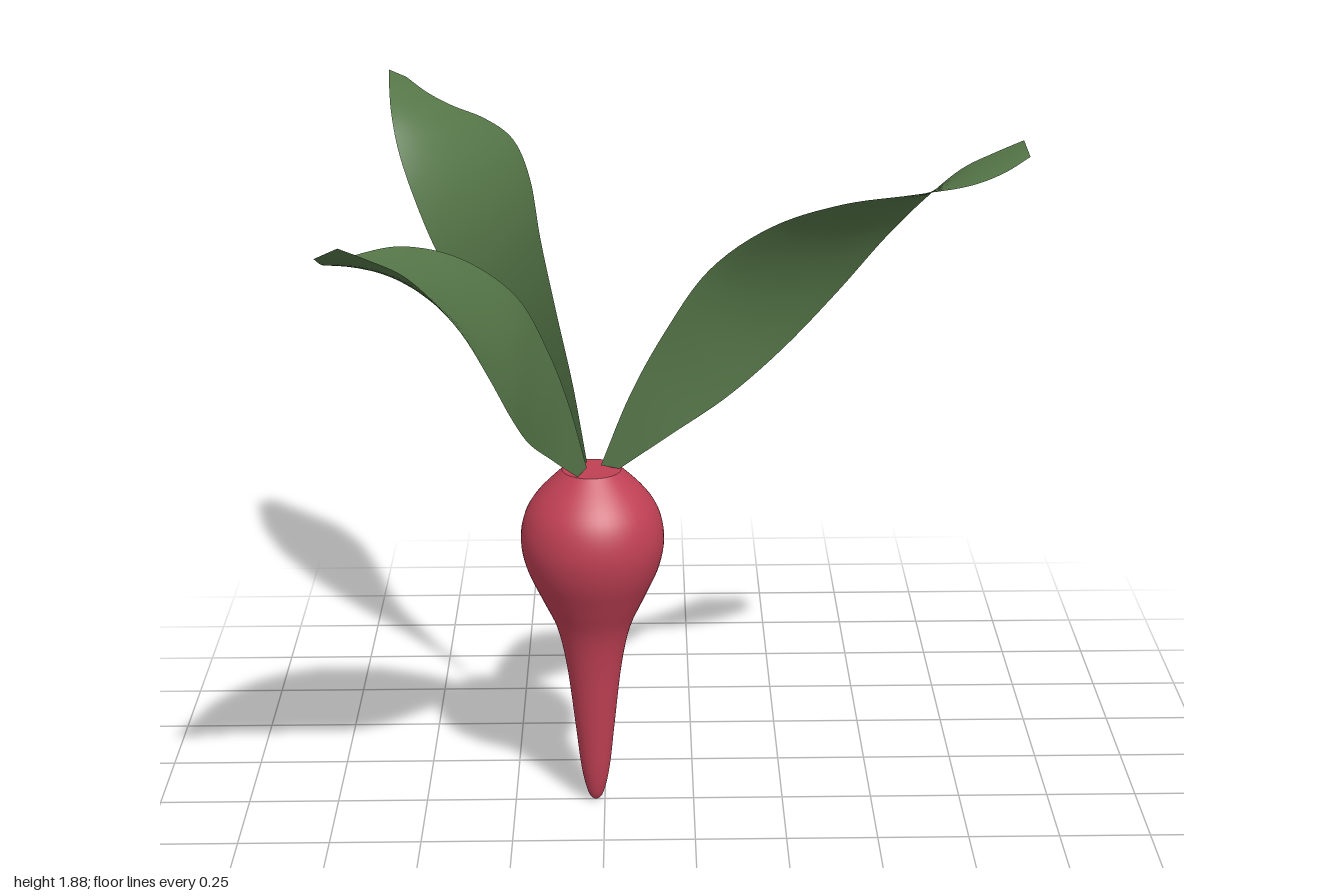
import * as THREE from 'three';

const rootRed = new THREE.MeshStandardMaterial({ color: 0xc04054 });
rootRed.name = 'rootRed';
const leafGreen = new THREE.MeshStandardMaterial({ color: 0x557648, side: THREE.DoubleSide });
leafGreen.name = 'leafGreen';

const AXIS_X = -0.275; // the root stands off-centre under the leaves

// Twisted blade: a strip spanned between its two edge curves
function leafGeometry() {
  const curve = (pts) => new THREE.CatmullRomCurve3(pts.map((p) => new THREE.Vector3(p[0] - AXIS_X, p[1], p[2])));
  const upper = curve([
    [-0.25, 1.0, 0], [-0.17, 1.2, 0.003], [-0.08, 1.37, 0.007], [0.04, 1.55, 0.025], [0.2, 1.68, 0.08],
    [0.38, 1.75, 0.123], [0.56, 1.775, 0.126], [0.71, 1.79, 0.093], [0.8, 1.815, 0.06], [0.87, 1.85, 0.03],
  ]);
  const lower = curve([
    [-0.2, 0.99, 0], [-0.06, 1.085, -0.006], [0.09, 1.18, -0.035], [0.24, 1.3, -0.08], [0.39, 1.45, -0.118],
    [0.52, 1.6, -0.13], [0.62, 1.705, -0.122], [0.71, 1.79, -0.097], [0.79, 1.84, -0.063], [0.86, 1.88, -0.03],
  ]);
  const along = 54, across = 8;
  const geo = new THREE.PlaneGeometry(1, 1, across, along);
  const pos = geo.attributes.position;
  for (let j = 0; j <= along; j++) {
    const a = upper.getPoint(j / along), b = lower.getPoint(j / along);
    for (let i = 0; i <= across; i++) {
      const p = a.clone().lerp(b, i / across);
      pos.setXYZ(j * (across + 1) + i, p.x, p.y, p.z);
    }
  }
  geo.computeVertexNormals();
  return geo;
}

export function createModel() {
  const model = new THREE.Group();
  model.name = 'radish';
  const plant = new THREE.Group();
  plant.name = 'plant';
  plant.position.x = AXIS_X;
  model.add(plant);

  // Bulb tapering into a long root
  const profile = new THREE.SplineCurve([
    [0, 0], [0.02, 0.02], [0.039, 0.1], [0.055, 0.24], [0.075, 0.41], [0.1, 0.53], [0.14, 0.62],
    [0.18, 0.71], [0.195, 0.79], [0.182, 0.865], [0.145, 0.925], [0.08, 0.99],
  ].map(([r, y]) => new THREE.Vector2(r, y)));
  const points = profile.getPoints(48);
  points.forEach((p) => { p.x = Math.max(p.x, 0); p.y = Math.max(p.y, 0); });
  const root = new THREE.Mesh(new THREE.LatheGeometry(points, 48), rootRed);
  root.name = 'root';
  plant.add(root);

  // Flat crown where the leaves sprout
  const crown = new THREE.Mesh(new THREE.CircleGeometry(0.08, 48), rootRed);
  crown.name = 'crown';
  crown.rotation.x = -Math.PI / 2;
  crown.position.y = 0.99;
  plant.add(crown);

  // Three identical leaves around the axis
  const blade = leafGeometry();
  for (let k = 0; k < 3; k++) {
    const leaf = new THREE.Mesh(blade, leafGreen);
    leaf.name = 'leaf' + (k + 1);
    leaf.rotation.y = (-k * 2 * Math.PI) / 3;
    plant.add(leaf);
  }
  return model;
}
